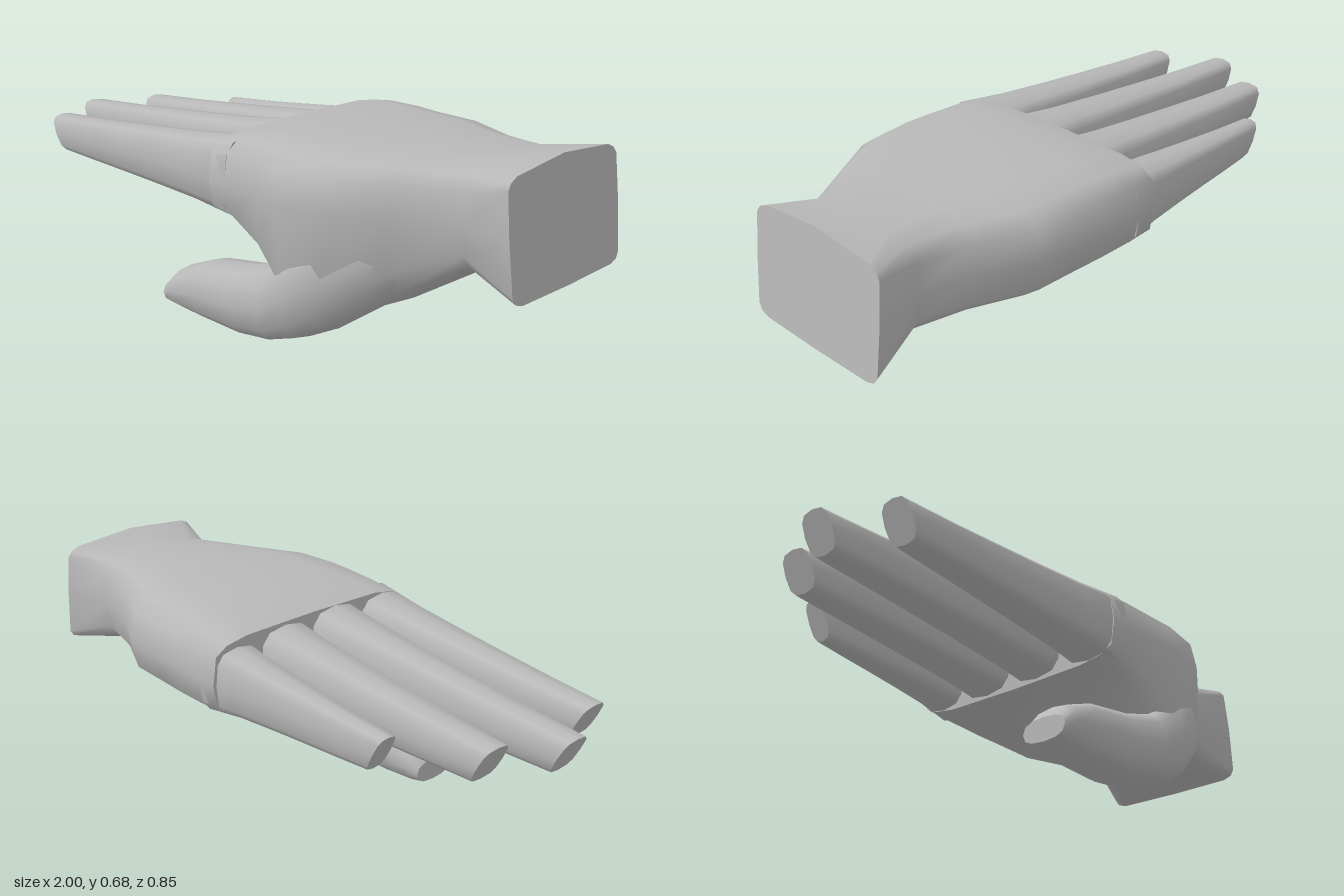
import * as THREE from 'three';

const skin = new THREE.MeshStandardMaterial({ color: 0xb8b8b8 });
skin.name = 'plain grey';
const { lerp, smoothstep } = THREE.MathUtils;

// Skin over rings of [x, y, z] running from +x to -x, with flat end caps
function loft(name, rings) {
  const n = rings[0].length, last = rings.length - 1;
  const pos = rings.flat(2), idx = [];
  for (let i = 0; i < last; i++) {
    for (let j = 0; j < n; j++) {
      const k = (j + 1) % n;
      const a = i * n + j, b = i * n + k, c = b + n, d = a + n;
      idx.push(a, d, c, a, c, b);
    }
  }
  for (const end of [0, last]) {
    const base = pos.length / 3;
    pos.push(...rings[end].flat());
    for (let j = 1; j < n - 1; j++) {
      if (end === 0) idx.push(base, base + j, base + j + 1);
      else idx.push(base, base + j + 1, base + j);
    }
  }
  const g = new THREE.BufferGeometry();
  g.setAttribute('position', new THREE.Float32BufferAttribute(pos, 3));
  g.setIndex(idx);
  g.computeVertexNormals();
  const mesh = new THREE.Mesh(g, skin);
  mesh.name = name;
  return mesh;
}

// Rounded-box outline around x; place(u, v) turns the -1..1 outline into a point
function ring(sides, power, place) {
  const soft = (v) => Math.sign(v) * Math.abs(v) ** power;
  return Array.from({ length: sides }, (_, j) => {
    const a = -j / sides * Math.PI * 2;
    return place(soft(Math.cos(a)), soft(Math.sin(a)));
  });
}

// Finger or thumb ring; lean pushes the lower edge towards +x
function digitRing(x, z0, z1, y0, y1, power, lean = 0) {
  return ring(12, power, (u, v) => [
    x - lean * v * (y1 - y0) / 2, lerp(y0, y1, (v + 1) / 2), lerp(z0, z1, (u + 1) / 2),
  ]);
}

// Palm from wrist to knuckles: x, back z, front z, top, underside, thumb-side underside, squareness
function palm() {
  const stations = [
    [0.975, -0.32, 0.22, 0.688, 0.31, 0.31, 0.2],
    [0.8, -0.275, 0.195, 0.665, 0.335, 0.335, 0.6],
    [0.62, -0.32, 0.305, 0.665, 0.325, 0.21, 0.6],
    [0.45, -0.405, 0.405, 0.667, 0.325, 0.12, 0.6],
    [0.3, -0.415, 0.42, 0.668, 0.33, 0.06, 0.6],
    [0.2, -0.42, 0.405, 0.667, 0.34, 0.24, 0.55],
    [0.08, -0.425, 0.393, 0.66, 0.355, 0.345, 0.5],
    [-0.01, -0.425, 0.388, 0.637, 0.375, 0.375, 0.42],
  ];
  return loft('palm', stations.map(([x, z0, z1, top, under, thumbSide, power], i) =>
    ring(16, power, (u, v) => {
      const low = lerp(under, thumbSide, smoothstep(u, -0.2, 0.7));
      const arch = i === 0 ? 0.025 * u * u : 0;
      const y = 0.5 + v * (v > 0 ? top - arch - 0.5 : 0.5 - low);
      const lean = i === 0 ? 0.107 * (0.5 - y) : 0;
      return [x + lean, y, lerp(z0, z1, (u + 1) / 2)];
    })));
}

// Tapering finger with a slanted tip; it thins fastest near the knuckle
function finger({ name, root, tip, length, top }) {
  const steps = 5;
  return loft(name, Array.from({ length: steps + 1 }, (_, i) => {
    const t = i / steps, s = t ** 0.8;
    return digitRing(lerp(0.06, -length, t), lerp(root[0], tip[0], s), lerp(root[1], tip[1], s),
      lerp(0.38, 0.415, Math.sqrt(t)), lerp(top, 0.535, s), 0.65, i === steps ? 0.5 : 0);
  }));
}

const fingers = [
  { name: 'indexFinger', root: [0.18, 0.39], tip: [0.225, 0.332], length: 0.87, top: 0.635 },
  { name: 'middleFinger', root: [-0.032, 0.18], tip: [0.014, 0.122], length: 0.97, top: 0.645 },
  { name: 'ringFinger', root: [-0.242, -0.03], tip: [-0.19, -0.078], length: 0.86, top: 0.635 },
  { name: 'littleFinger', root: [-0.424, -0.238], tip: [-0.35, -0.275], length: 0.62, top: 0.615 },
];

// Thumb from deep inside the heel of the palm to its tip: x, z range, y range
const thumb = [
  [0.68, 0.06, 0.24, 0.3, 0.5],
  [0.55, 0.09, 0.34, 0.2, 0.48],
  [0.42, 0.13, 0.405, 0.105, 0.44],
  [0.32, 0.155, 0.418, 0.055, 0.36],
  [0.22, 0.175, 0.416, 0.024, 0.27],
  [0.08, 0.185, 0.405, 0.004, 0.225],
  [-0.1, 0.19, 0.395, 0.006, 0.195],
  [-0.21, 0.2, 0.39, 0.014, 0.15],
  [-0.26, 0.22, 0.375, 0.022, 0.1],
];

export function createModel() {
  const hand = new THREE.Group();
  hand.name = 'hand';
  hand.add(palm(), ...fingers.map(finger));
  hand.add(loft('thumb', thumb.map((s) => digitRing(...s, 0.8))));
  return hand;
}
